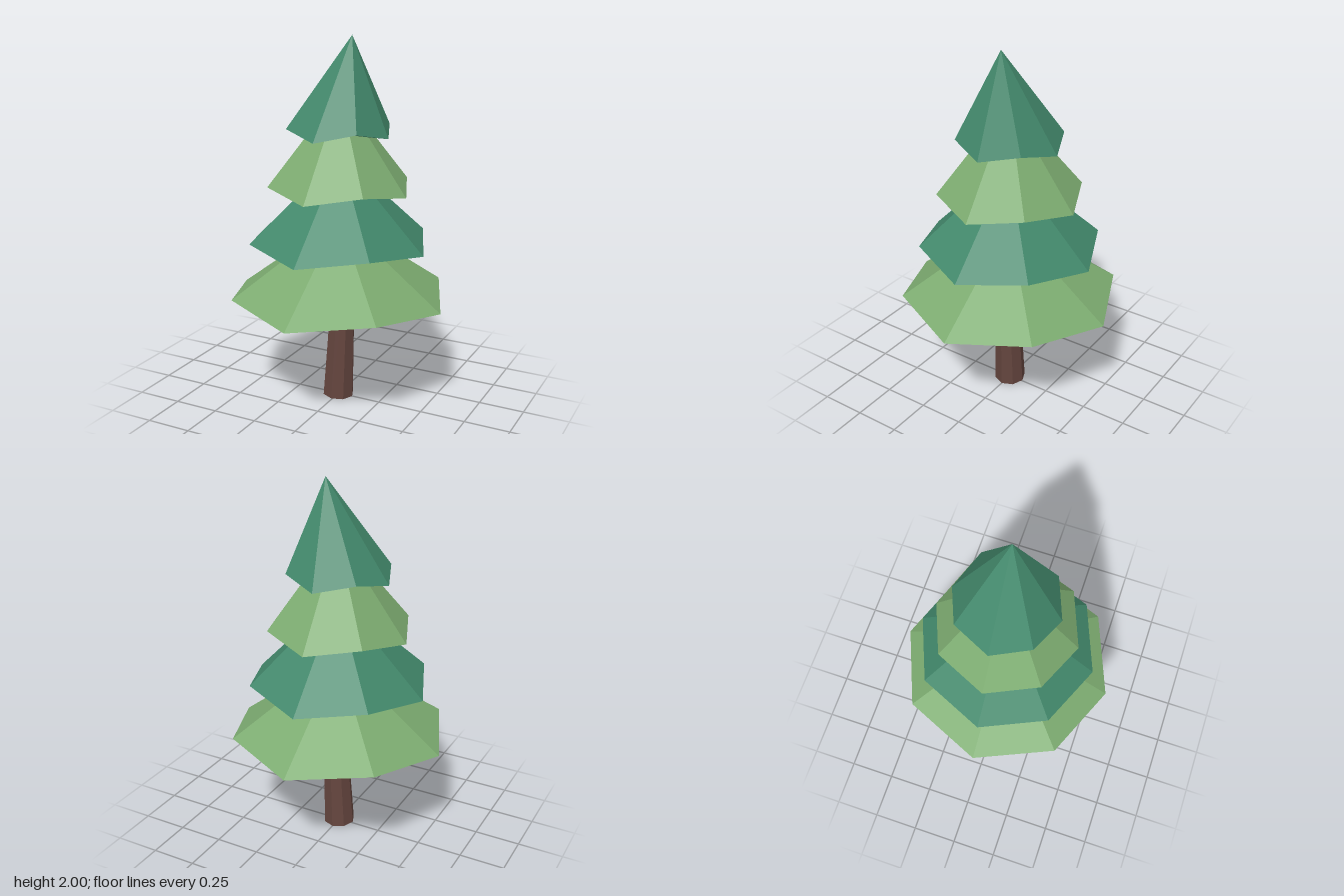
import * as THREE from 'three';

const makeMaterial = (name, color) => {
  const material = new THREE.MeshStandardMaterial({ color });
  material.name = name;
  return material;
};

// Give every face its own normal for a faceted look
function faceted(geometry) {
  const flat = geometry.toNonIndexed();
  flat.computeVertexNormals();
  return flat;
}

// Eight-sided cone whose diagonal rim corners lift up and whose tip may lean
function tierGeometry({ radius, base, tip, lean }) {
  const geometry = new THREE.ConeGeometry(radius, tip - base, 8);
  geometry.translate(0, (base + tip) / 2, 0);
  const p = geometry.attributes.position;
  for (let i = 0; i < p.count; i++) {
    const x = p.getX(i), y = p.getY(i), z = p.getZ(i);
    if (y > tip - 0.001) p.setX(i, x + lean);
    else if (Math.abs(x) > 0.01 && Math.abs(z) > 0.01) p.setY(i, y + 0.045);
  }
  return faceted(geometry);
}

export function createModel() {
  const tree = new THREE.Group();
  tree.name = 'pineTree';

  const bark = makeMaterial('bark brown', 0x64453e);
  const lightGreen = makeMaterial('light green', 0x7cab70);
  const deepGreen = makeMaterial('deep green', 0x42886b);

  // Slightly tapered trunk, leaning to the side
  const trunkGeometry = new THREE.CylinderGeometry(0.062, 0.087, 0.75, 8);
  trunkGeometry.translate(0, 0.375, 0);
  const trunk = new THREE.Mesh(faceted(trunkGeometry), bark);
  trunk.name = 'trunk';
  trunk.position.set(-0.002, 0.004, 0);
  trunk.rotation.z = -0.047;
  tree.add(trunk);

  // Foliage tiers from bottom to top, alternating colours
  const tiers = [
    { radius: 0.597, base: 0.583, tip: 1.035, lean: 0.005 },
    { radius: 0.493, base: 0.883, tip: 1.38, lean: 0.01 },
    { radius: 0.39, base: 1.183, tip: 1.71, lean: 0.01 },
    { radius: 0.285, base: 1.483, tip: 2, lean: 0.077 },
  ];
  tiers.forEach((tier, i) => {
    const mesh = new THREE.Mesh(tierGeometry(tier), i % 2 ? deepGreen : lightGreen);
    mesh.name = `foliageTier${i + 1}`;
    tree.add(mesh);
  });

  return tree;
}
